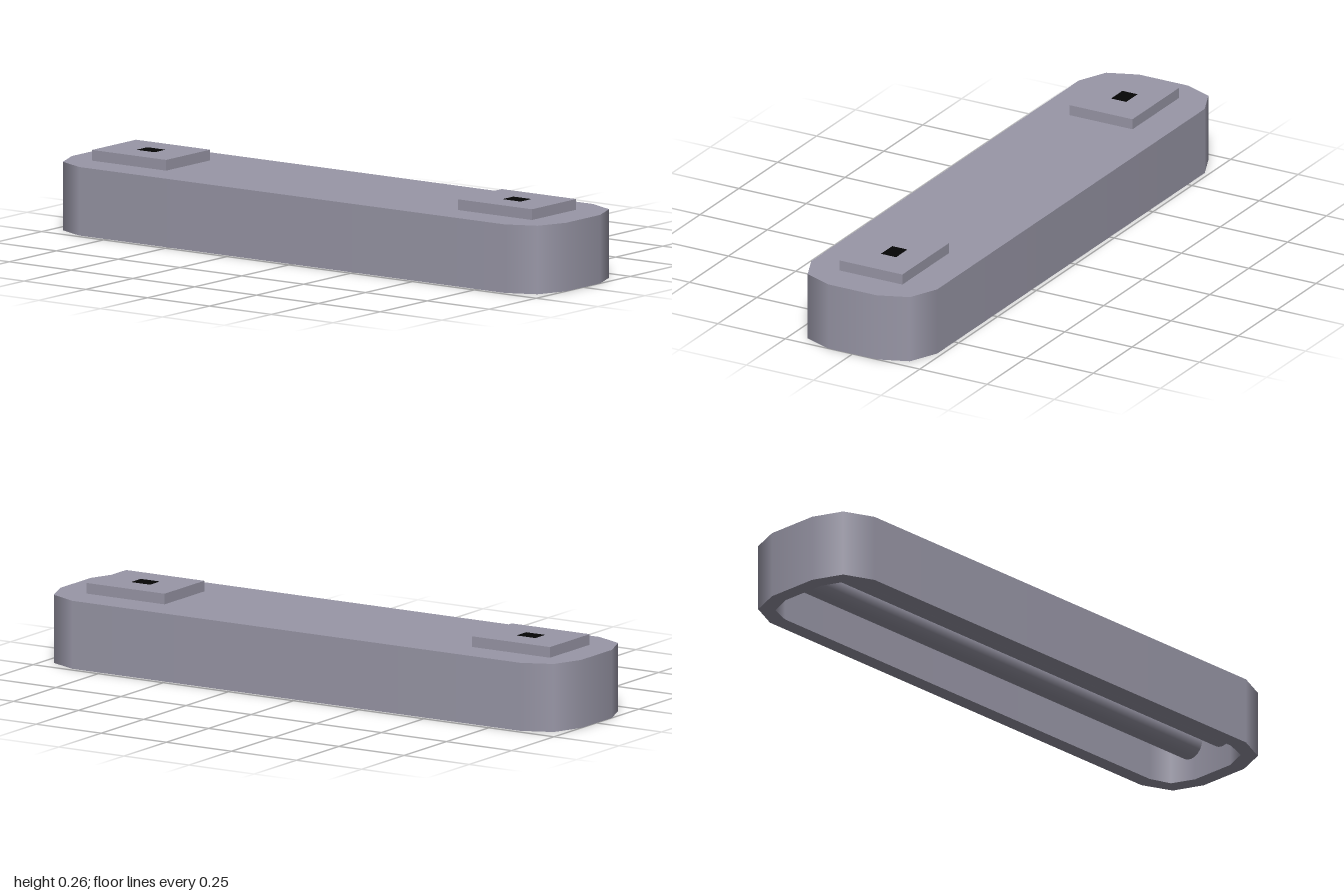
import * as THREE from 'three';

const HEIGHT = 0.224, CEILING = 0.145, WALL = 0.052;

// Long outline with chamfered round corners, mirrored from one quarter
function outline(inset) {
  const quarter = [
    [1 - inset, 0.09 - inset * 0.2],
    [0.96 - inset * 0.85, 0.19 - inset * 0.65],
    [0.86 - inset * 0.3, 0.234 - inset],
  ];
  const back = [...quarter].reverse();
  return [
    ...quarter,
    ...back.map(([x, y]) => [-x, y]),
    ...quarter.map(([x, y]) => [-x, -y]),
    ...back.map(([x, y]) => [x, -y]),
  ].map(([x, y]) => new THREE.Vector2(x, y));
}

// Smooth upright wall following an outline, facing outward or inward
function wall(points, top, inward) {
  const positions = [], normals = [], index = [], n = points.length;
  points.forEach((p, i) => {
    const along = points[(i + 1) % n].clone().sub(points[(i + n - 1) % n]).normalize();
    if (inward) along.negate();
    positions.push(p.x, 0, -p.y, p.x, top, -p.y);
    for (let k = 0; k < 2; k++) normals.push(along.y, 0, along.x);
    const a = 2 * i, b = 2 * ((i + 1) % n);
    if (inward) index.push(a, b + 1, b, a, a + 1, b + 1);
    else index.push(a, b, b + 1, a, b + 1, a + 1);
  });
  const geometry = new THREE.BufferGeometry();
  geometry.setAttribute('position', new THREE.Float32BufferAttribute(positions, 3));
  geometry.setAttribute('normal', new THREE.Float32BufferAttribute(normals, 3));
  geometry.setIndex(index);
  return geometry;
}

// Flat face lying level, turned up or down
function level(shape, up) {
  return new THREE.ShapeGeometry(shape).rotateX(up ? -Math.PI / 2 : Math.PI / 2);
}

export function createModel() {
  const model = new THREE.Group();
  const grey = new THREE.MeshStandardMaterial({ color: 0x9997a7 });
  grey.name = 'grey metal';
  const black = new THREE.MeshStandardMaterial({ color: 0x050505 });
  black.name = 'black';

  function add(name, geometry, material, x = 0, y = 0, z = 0) {
    const mesh = new THREE.Mesh(geometry, material);
    mesh.name = name;
    mesh.position.set(x, y, z);
    model.add(mesh);
    return mesh;
  }

  // Housing, open underneath
  const outer = outline(0), inner = outline(WALL);
  const rim = new THREE.Shape(outer);
  rim.holes.push(new THREE.Path(inner));
  add('housingOuterWall', wall(outer, HEIGHT, false), grey);
  add('housingInnerWall', wall(inner, CEILING, true), grey);
  add('housingTop', level(new THREE.Shape(outer), true), grey, 0, HEIGHT);
  add('housingCeiling', level(new THREE.Shape(inner), false), grey, 0, CEILING);
  add('housingRim', level(rim, false), grey);

  // Mounting pads with a small black socket on each
  for (const [side, x] of [['right', -0.748], ['left', 0.732]]) {
    add(side + 'MountingPad', new THREE.BoxGeometry(0.3, 0.035, 0.234), grey, x, HEIGHT + 0.0175, 0);
    add(side + 'Socket', new THREE.BoxGeometry(0.072, 0.004, 0.056), black, x, 0.2575, 0);
  }

  // Two long tubes set into the ceiling of the housing
  for (const [side, z] of [['front', 0.07], ['back', -0.07]]) {
    const tube = add(side + 'Tube', new THREE.CylinderGeometry(0.05, 0.05, 1.84, 20), grey, 0, 0.11, z);
    tube.rotation.z = Math.PI / 2;
  }

  return model;
}
